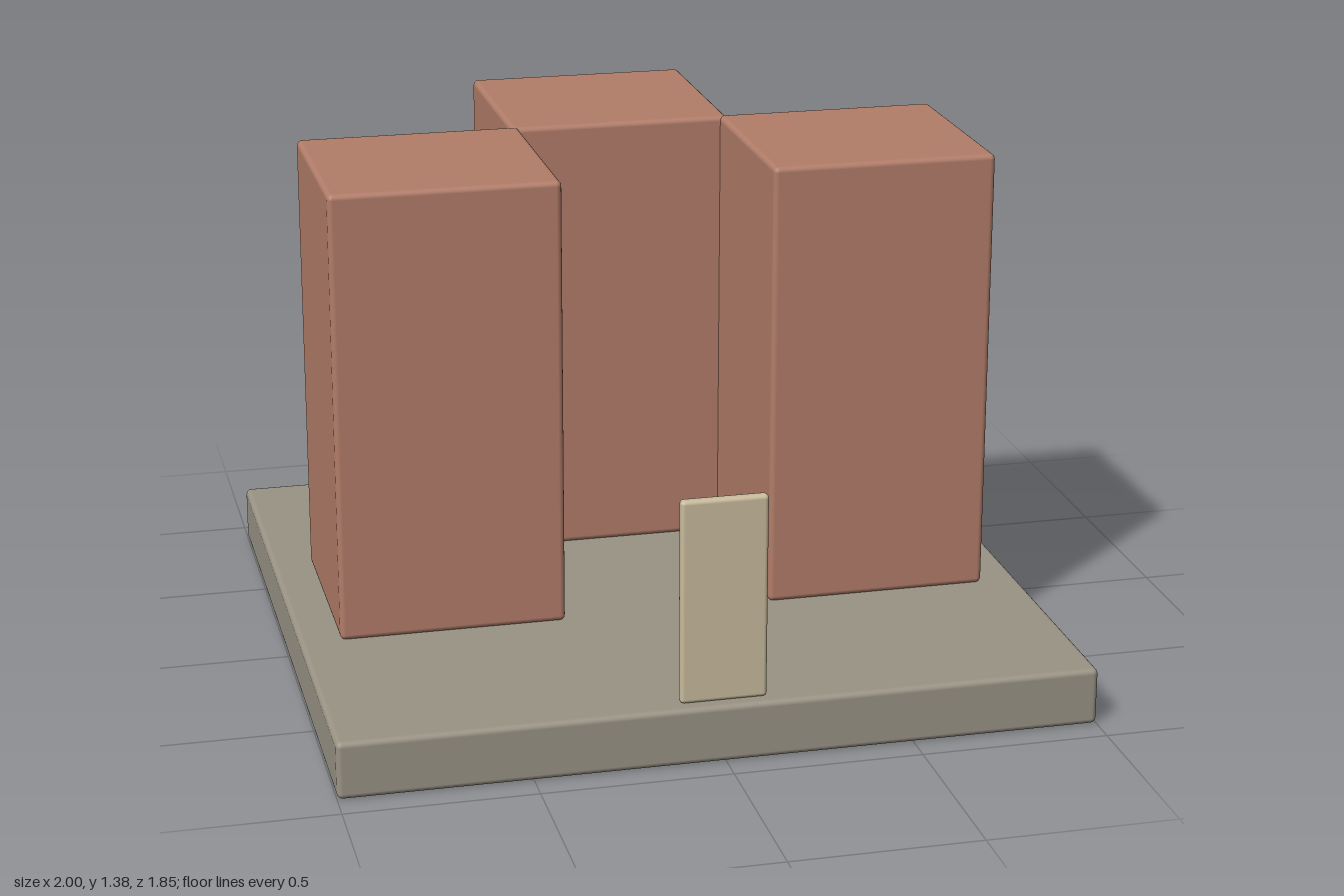
import * as THREE from 'three';
import { RoundedBoxGeometry } from 'three/addons/geometries/RoundedBoxGeometry.js';

function material(name, color) {
  const m = new THREE.MeshStandardMaterial({ color });
  m.name = name;
  return m;
}

export function createModel() {
  const group = new THREE.Group();
  group.name = 'towerBlock';

  const stone = material('grey stone', 0x9a9385);
  const brick = material('brick red', 0xb27d69);
  const sand = material('pale sand', 0xc9bb9c);

  // Softly bevelled box standing on height y
  function block(name, mat, [w, h, d], [x, y, z], radius) {
    const mesh = new THREE.Mesh(new RoundedBoxGeometry(w, h, d, 2, radius), mat);
    mesh.name = name;
    mesh.position.set(x, y + h / 2, z);
    group.add(mesh);
  }

  const baseTop = 0.155;
  block('base', stone, [2, baseTop, 1.85], [0, 0, 0], 0.015);

  // Three towers around an open court, overlapping slightly at their corners
  const tower = [0.61, 1.225, 0.585];
  block('backTower', brick, tower, [0, baseTop, -0.567], 0.015);
  block('leftTower', brick, tower, [0.588, baseTop, -0.003], 0.015);
  block('rightTower', brick, tower, [-0.588, baseTop, -0.003], 0.015);

  // Upright slab at the front edge
  block('entranceSlab', sand, [0.228, 0.55, 0.03], [0, baseTop, 0.878], 0.011);

  return group;
}
